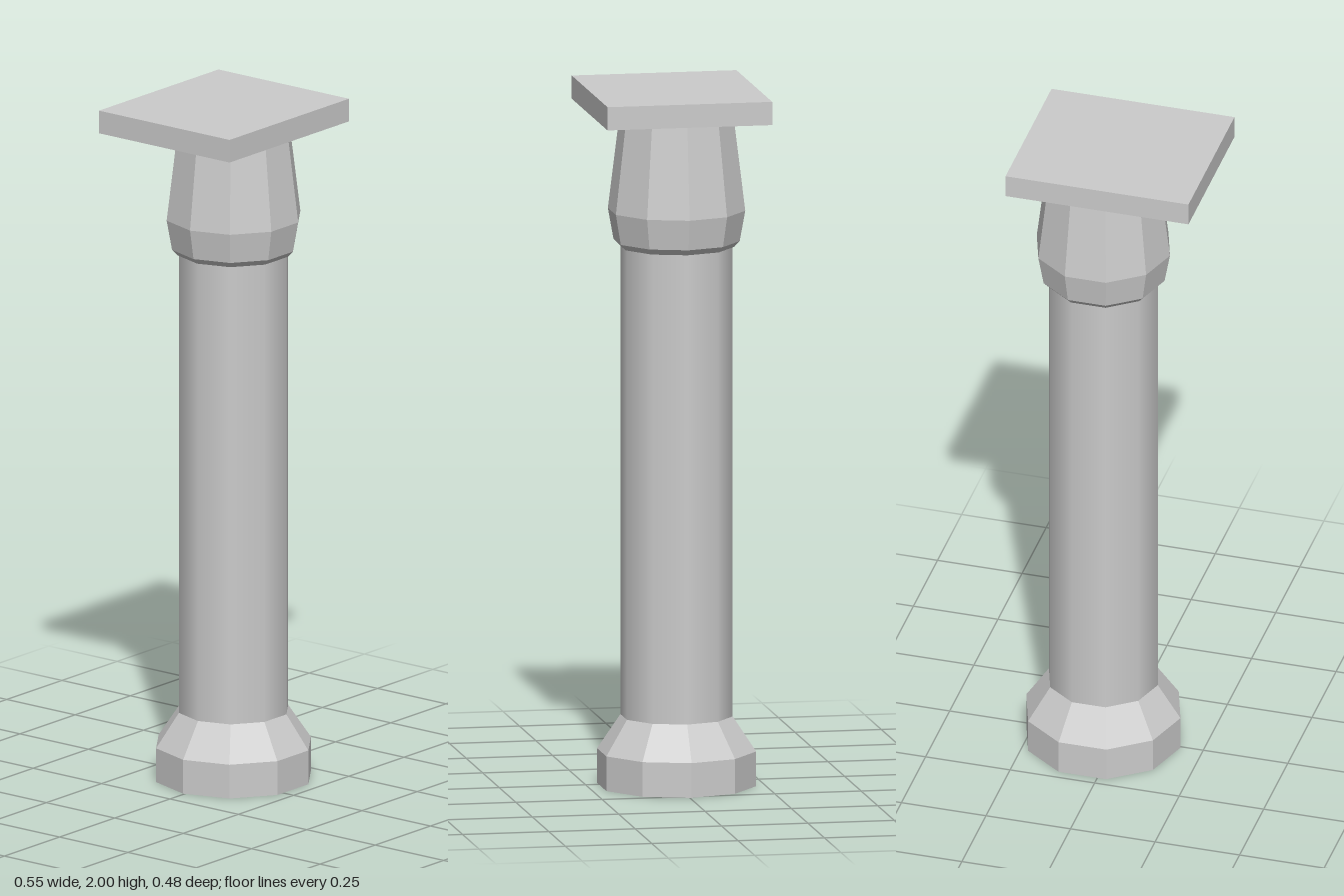
import * as THREE from 'three';

const SIDES = 10;

export function createModel() {
  const model = new THREE.Group();
  const flat = new THREE.MeshStandardMaterial({ color: 0xcccccc, flatShading: true });
  const smooth = new THREE.MeshStandardMaterial({ color: 0xcccccc });

  // The column stands slightly off the centre of its top slab
  const column = new THREE.Group();
  column.name = 'column';
  column.position.set(0.044, 0, -0.005);
  model.add(column);

  // Ten-sided turned part with corners on the x axis; profile is [radius, y] from the bottom up
  function turned(name, profile, material) {
    const points = profile.map(([r, y]) => new THREE.Vector2(r, y));
    const geometry = new THREE.LatheGeometry(points, SIDES).rotateY(Math.PI / 2);
    const mesh = new THREE.Mesh(geometry, material);
    mesh.name = name;
    column.add(mesh);
  }

  // Base: straight foot, then a chamfer up to the shaft
  turned('base', [[0, 0], [0.228, 0], [0.228, 0.1], [0.161, 0.2], [0, 0.2]], flat);

  // Shaft: smooth-shaded, open ends hidden in base and capital
  turned('shaft', [[0.161, 0.2], [0.161, 1.56]], smooth);

  // Capital: small lip, bulge, then a taper up to the slab
  turned('capital', [[0, 1.555], [0.165, 1.555], [0.181, 1.572], [0.197, 1.66], [0.163, 1.935], [0, 1.935]], flat);

  // Top slab
  const slab = new THREE.Mesh(new THREE.BoxGeometry(0.541, 0.067, 0.477), flat);
  slab.name = 'topSlab';
  slab.position.set(-0.004, 1.9665, -0.001);
  model.add(slab);

  return model;
}
